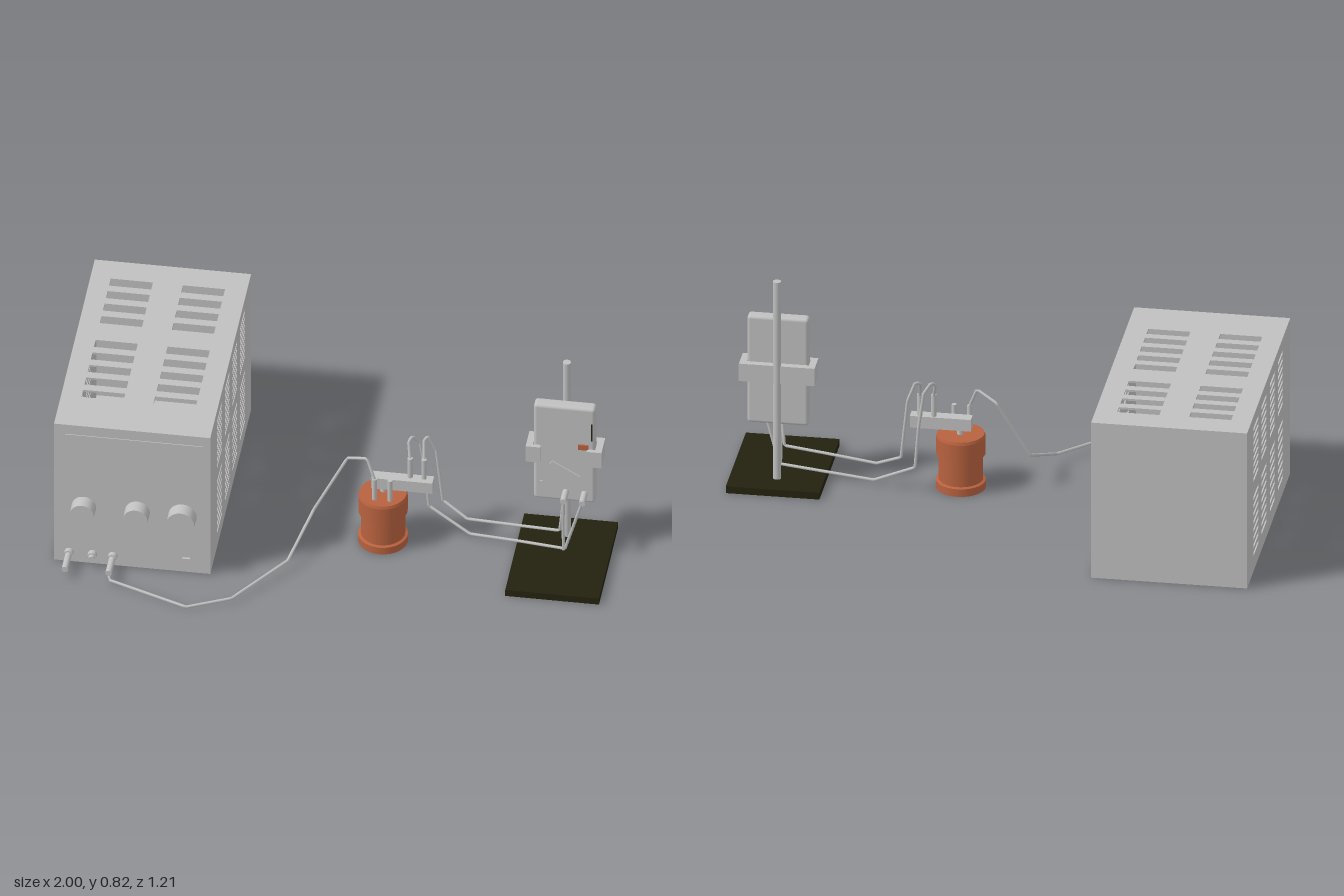
import * as THREE from 'three';
import { RoundedBoxGeometry } from 'three/addons/geometries/RoundedBoxGeometry.js';

export function createModel() {
  const root = new THREE.Group();
  root.name = 'labSetup';
  const mat = (name, color) => {
    const m = new THREE.MeshStandardMaterial({ color });
    m.name = name;
    return m;
  };
  const grey = mat('grey metal', 0xc0c0c0);
  const copper = mat('copper brown', 0xb8623f);
  const dark = mat('dark base', 0x23220f);

  const group = (name) => {
    const g = new THREE.Group();
    g.name = name;
    root.add(g);
    return g;
  };
  const add = (parent, name, geo, m, x = 0, y = 0, z = 0) => {
    const mesh = new THREE.Mesh(geo, m);
    mesh.name = name;
    mesh.position.set(x, y, z);
    parent.add(mesh);
    return mesh;
  };
  // box from its min and max corners
  const box = (parent, name, m, x0, x1, y0, y1, z0, z1) =>
    add(parent, name, new THREE.BoxGeometry(x1 - x0, y1 - y0, z1 - z0), m,
      (x0 + x1) / 2, (y0 + y1) / 2, (z0 + z1) / 2);
  // upright cylinder from y0 to y1
  const post = (parent, name, m, r, x, y0, y1, z, n = 16) =>
    add(parent, name, new THREE.CylinderGeometry(r, r, y1 - y0, n), m, x, (y0 + y1) / 2, z);
  // cylinder pointing to the front, from z0 to z1
  const stud = (parent, name, m, r, x, y, z0, z1, n = 20, r2 = r) =>
    add(parent, name, new THREE.CylinderGeometry(r2, r, z1 - z0, n).rotateX(Math.PI / 2),
      m, x, y, (z0 + z1) / 2);
  // rectangle path
  const rect = (P, x0, x1, y0, y1) => {
    const p = new P();
    p.moveTo(x0, y0);
    p.lineTo(x1, y0);
    p.lineTo(x1, y1);
    p.lineTo(x0, y1);
    p.closePath();
    return p;
  };

  // ---- power supply case with vent slots
  const T = 0.008;
  const supply = group('powerSupply');
  const panel = (x0, x1, y0, y1, slots) => {
    const s = rect(THREE.Shape, x0, x1, y0, y1);
    slots.forEach((q) => s.holes.push(rect(THREE.Path, ...q)));
    return new THREE.ExtrudeGeometry(s, { depth: T, bevelEnabled: false });
  };
  const sideSlots = [];
  for (let c = 0; c < 4; c++) {
    const z = 0.094 - c * 0.185;
    for (let r = 0; r < 8; r++) {
      sideSlots.push([z, z + 0.114, 0.563 - r * 0.029, 0.578 - r * 0.029]);
      sideSlots.push([z, z + 0.114, 0.286 - r * 0.032, 0.301 - r * 0.032]);
    }
  }
  const side = panel(-0.61, 0.375, 0, 0.625, sideSlots).rotateY(-Math.PI / 2);
  add(supply, 'leftVentPanel', side, grey, -0.425);
  add(supply, 'rightVentPanel', side, grey, -1 + T);
  const topSlots = [];
  for (const x of [-0.925, -0.66]) {
    for (let r = 0; r < 9; r++) {
      const z = r < 4 ? -0.507 + r * 0.075 : -0.139 + (r - 4) * 0.075;
      topSlots.push([x, x + 0.155, z, z + 0.042]);
    }
  }
  add(supply, 'topVentPanel',
    panel(-1 + T, -0.425 - T, -0.61, 0.375, topSlots).rotateX(Math.PI / 2), grey, 0, 0.625);
  box(supply, 'bottomPanel', grey, -1 + T, -0.425 - T, 0, T, -0.61, 0.375);
  box(supply, 'frontPanel', grey, -1 + T, -0.425 - T, T, 0.625 - T, 0.375 - T, 0.375);
  box(supply, 'backPanel', grey, -1 + T, -0.425 - T, T, 0.625 - T, -0.61, -0.61 + T);
  box(supply, 'topTrim', grey, -0.96, -0.452, 0.577, 0.583, 0.375, 0.378);
  box(supply, 'sideTrim', grey, -0.458, -0.452, 0.38, 0.577, 0.375, 0.378);

  // knobs, terminals and switch
  for (const [x, r] of [[-0.89, 0.045], [-0.693, 0.046], [-0.527, 0.052]]) {
    stud(supply, 'knob', grey, r, x, 0.256, 0.375, 0.428, 32, r * 0.97);
  }
  for (const [x, end] of [[-0.944, 0.483], [-0.858, 0.41], [-0.783, 0.483]]) {
    stud(supply, 'terminalCollar', grey, 0.017, x, 0.043, 0.375, 0.395);
    stud(supply, 'terminalPost', grey, 0.012, x, 0.043, 0.395, end);
  }
  box(supply, 'powerSwitch', grey, -0.527, -0.499, 0.038, 0.066, 0.375, 0.384);

  // ---- copper vessel
  const vessel = group('vessel');
  const profile = [[0, 0], [0.091, 0], [0.091, 0.03], [0.081, 0.034], [0.081, 0.132],
    [0.09, 0.136], [0.09, 0.205], [0.086, 0.216], [0, 0.216]];
  // flat bands keep the steps crisp
  for (let i = 0; i < profile.length - 1; i++) {
    const pts = [profile[i], profile[i + 1]].map((p) => new THREE.Vector2(...p));
    add(vessel, 'vesselBand', new THREE.LatheGeometry(pts, 40), copper, 0.165, 0, 0.076);
  }
  for (const x of [0.14, 0.197]) {
    post(vessel, 'vesselPin', grey, 0.009, x, 0.21, 0.308, 0.12);
  }
  box(vessel, 'plugBar', grey, 0.123, 0.348, 0.238, 0.285, 0.043, 0.087);
  post(vessel, 'barSupport', grey, 0.012, 0.165, 0.21, 0.24, 0.065);
  for (const x of [0.262, 0.313]) {
    post(vessel, 'plug', grey, 0.01, x, 0.28, 0.37, 0.058);
  }

  // ---- stand
  const stand = group('stand');
  box(stand, 'standBase', dark, 0.655, 1, 0, 0.027, -0.118, 0.342);
  post(stand, 'standRod', grey, 0.015, 0.827, 0.027, 0.82, -0.018, 24);
  const c = new THREE.Shape();
  [[0.688, -0.026], [0.967, -0.026], [0.967, 0.066], [0.912, 0.066], [0.912, 0.05], [0.942, 0.05],
    [0.942, 0], [0.713, 0], [0.713, 0.05], [0.742, 0.05], [0.742, 0.066], [0.688, 0.066]]
    .forEach(([x, z], i) => (i ? c.lineTo(x, z) : c.moveTo(x, z)));
  add(stand, 'clamp',
    new THREE.ExtrudeGeometry(c, { depth: 0.07, bevelEnabled: false }).rotateX(Math.PI / 2),
    grey, 0, 0.481);

  // ---- timer held by the clamp
  const timer = group('timer');
  add(timer, 'timerBody', new RoundedBoxGeometry(0.226, 0.43, 0.048, 3, 0.012), grey,
    0.828, 0.448, 0.025);
  box(timer, 'darkSlot', dark, 0.926, 0.932, 0.52, 0.597, 0.047, 0.051);
  box(timer, 'copperButton', copper, 0.88, 0.917, 0.478, 0.5, 0.047, 0.055);
  const lever = box(timer, 'lever', grey, 0.77, 0.89, 0.366, 0.386, 0.047, 0.056);
  lever.rotation.z = -0.54;
  stud(timer, 'smallScrew', grey, 0.007, 0.745, 0.312, 0.047, 0.053);
  for (const x of [0.833, 0.902]) stud(timer, 'socket', grey, 0.012, x, 0.276, 0.045, 0.112);

  // ---- cables, bent in straight runs
  const cables = group('cables');
  const cable = (name, pts) => {
    const v = pts.map((p) => new THREE.Vector3(...p));
    const path = new THREE.CurvePath();
    for (let i = 1; i < v.length; i++) path.add(new THREE.LineCurve3(v[i - 1], v[i]));
    add(cables, name, new THREE.TubeGeometry(path, 110, 0.0058, 7, false), grey);
  };
  cable('supplyCable', [[-0.783, 0.035, 0.47], [-0.78, 0.015, 0.485], [-0.48, 0.012, 0.597],
    [-0.323, 0.022, 0.535], [-0.15, 0.044, 0.31], [-0.085, 0.13, 0.105], [0.033, 0.35, 0.065],
    [0.11, 0.383, 0.1], [0.14, 0.305, 0.12]]);
  cable('lowerCable', [[0.262, 0.36, 0.058], [0.252, 0.425, 0.03], [0.265, 0.438, 0.012],
    [0.29, 0.4, 0], [0.307, 0.27, -0.01], [0.32, 0.105, -0.012], [0.478, 0.024, 0.028],
    [0.66, 0.032, 0.053], [0.835, 0.038, 0.08], [0.902, 0.276, 0.1]]);
  cable('upperCable', [[0.313, 0.36, 0.058], [0.307, 0.43, 0.02], [0.322, 0.438, 0.005],
    [0.348, 0.37, -0.005], [0.372, 0.14, -0.008], [0.468, 0.092, 0.028],
    [0.66, 0.105, 0.055], [0.815, 0.115, 0.075], [0.833, 0.276, 0.1]]);
  cable('groundCable', [[0.83, 0.033, 0.08], [0.828, 0.15, 0.085], [0.833, 0.276, 0.1]]);

  return root;
}
